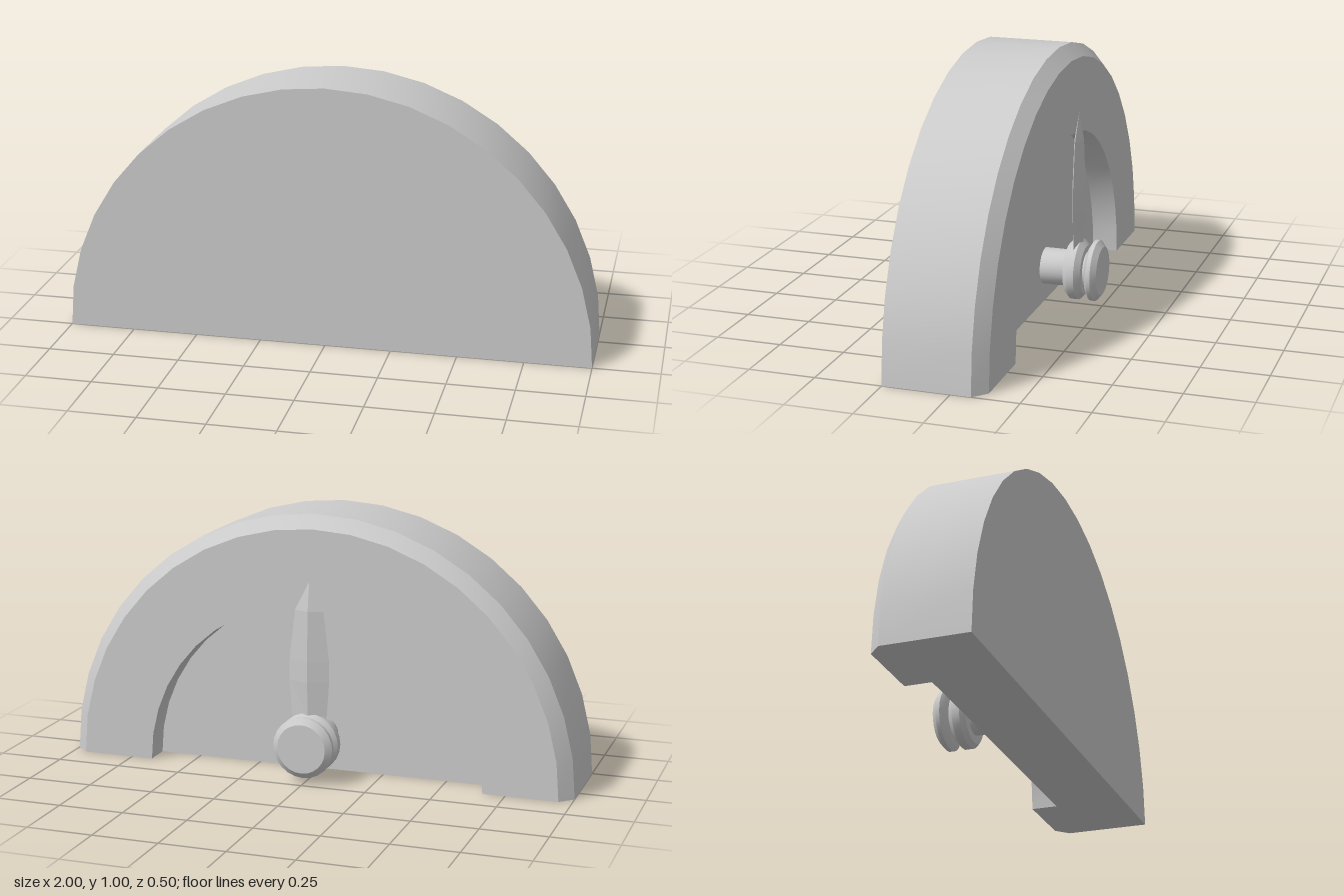
import * as THREE from 'three';
import { toCreasedNormals } from 'three/addons/utils/BufferGeometryUtils.js';

const material = new THREE.MeshStandardMaterial({ color: 0xcccccc });
const vectors = (list) => list.map(([a, b]) => new THREE.Vector2(a, b));

function addPart(group, name, geometry) {
  const mesh = new THREE.Mesh(geometry, material);
  mesh.name = name;
  group.add(mesh);
  return mesh;
}

// Revolves [radius, z] points, listed from front to back, about the z axis.
function turned(profile, segments, start, length) {
  const points = vectors(profile.map(([r, z]) => [r, -z]));
  const lathe = new THREE.LatheGeometry(points, segments, start, length);
  return toCreasedNormals(lathe.rotateX(-Math.PI / 2), 0.4);
}

// Pointed blade with a diamond section; each ring is [y, half width, half thickness].
function blade(rings) {
  const positions = [];
  const corner = ([y, w, t], i) => [[w, y, 0], [0, y, t], [-w, y, 0], [0, y, -t]][i % 4];
  for (let k = 0; k < rings.length - 1; k++) {
    for (let i = 0; i < 4; i++) {
      const a = corner(rings[k], i), b = corner(rings[k], i + 1);
      const c = corner(rings[k + 1], i + 1), d = corner(rings[k + 1], i);
      positions.push(...a, ...c, ...b, ...a, ...d, ...c);
    }
  }
  const geometry = new THREE.BufferGeometry();
  geometry.setAttribute('position', new THREE.Float32BufferAttribute(positions, 3));
  geometry.computeVertexNormals();
  return geometry;
}

export function createModel() {
  const group = new THREE.Group();
  group.name = 'gauge';

  // Half-round housing: bevelled outer rim and a recessed dial face
  const section = [
    [0, 0.25], [1, 0.25], [1, -0.075], [0.95, -0.122],
    [0.665, -0.122], [0.665, -0.02], [0, -0.02],
  ];
  addPart(group, 'housing', turned(section, 20, -Math.PI / 2, Math.PI));

  // Flat underside, the section mirrored about the centre
  const mirrored = section.slice(1, -1).reverse().map(([r, z]) => [-r, z]);
  const base = new THREE.ShapeGeometry(new THREE.Shape(vectors([...section.slice(1, -1), ...mirrored])));
  addPart(group, 'underside', base.rotateX(Math.PI / 2));

  // Spool-shaped pivot standing out from the dial face
  const pivot = addPart(group, 'pivot', turned([
    [0.07, -0.02], [0.07, -0.118], [0.1, -0.12], [0.117, -0.137], [0.117, -0.167],
    [0.094, -0.187], [0.07, -0.188], [0.07, -0.197], [0.094, -0.201],
    [0.117, -0.215], [0.117, -0.231], [0.094, -0.25], [0, -0.25],
  ], 24));
  pivot.position.y = 0.141;

  // Needle rising from the first pivot disc
  const needle = addPart(group, 'needle', blade([
    [0.2, 0.065, 0.017], [0.25, 0.069, 0.019], [0.38, 0.078, 0.026],
    [0.46, 0.078, 0.026], [0.65, 0.056, 0.019], [0.76, 0, 0],
  ]));
  needle.position.z = -0.154;

  return group;
}
